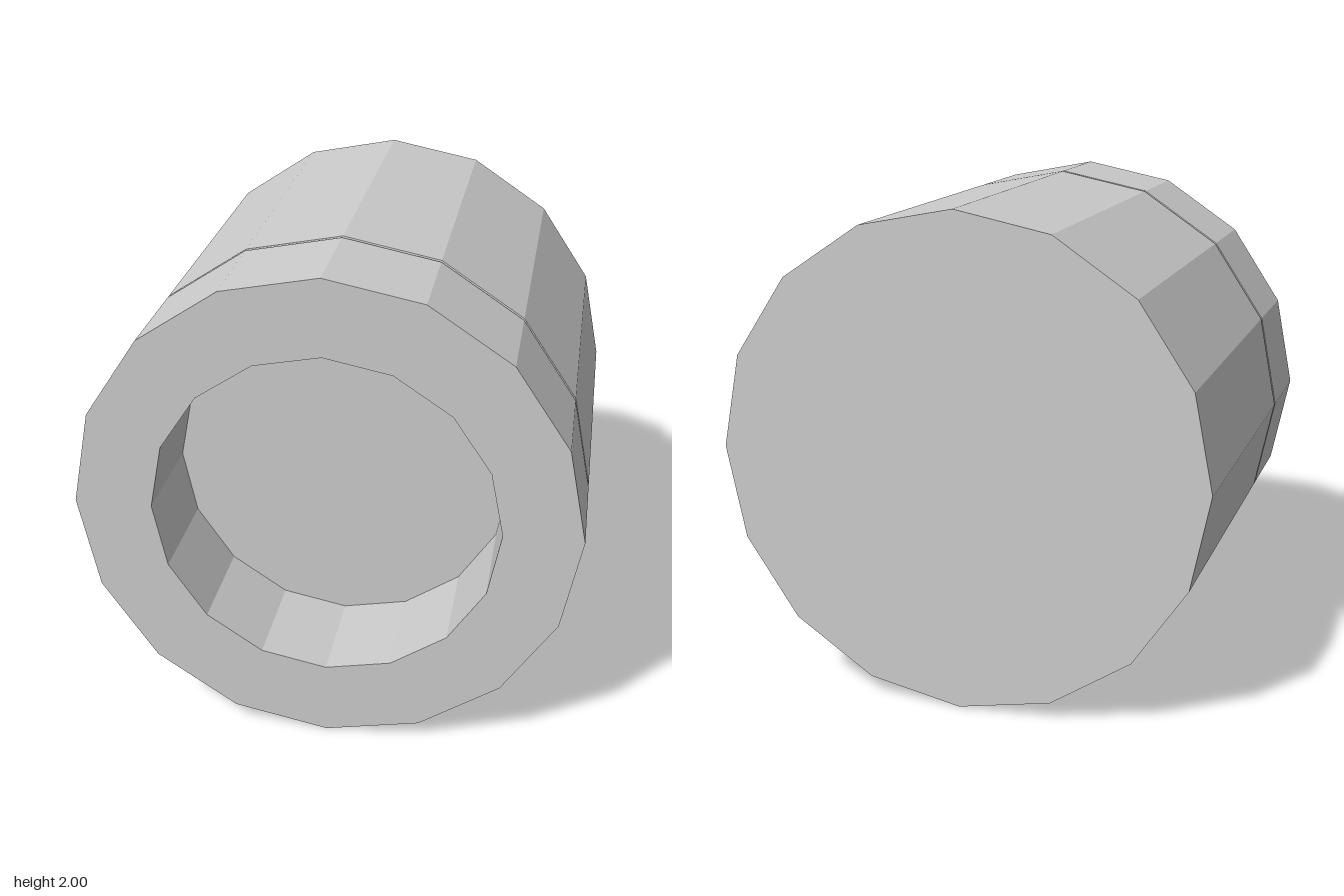
import * as THREE from 'three';

const SIDES = 16;

// Turn a profile of [radius, z] points around the z axis
function turned(name, profile, material) {
  const geometry = new THREE.LatheGeometry(
    profile.map(([r, z]) => new THREE.Vector2(r, z)), SIDES);
  geometry.rotateX(Math.PI / 2);
  const mesh = new THREE.Mesh(geometry, material);
  mesh.name = name;
  mesh.position.y = 1;
  return mesh;
}

export function createModel() {
  const group = new THREE.Group();
  group.name = 'barrel';
  const material = new THREE.MeshStandardMaterial({ color: 0xcccccc, flatShading: true });

  // Solid body; its front disc is the floor of the recess
  group.add(turned('body', [
    [0, -0.9], [1, -0.9], [1, 0.447], [0.99, 0.45], [0, 0.45],
  ], material));

  // Front ring around the recess, bevelled at the back to leave a fine groove
  group.add(turned('frontRing', [
    [0.99, 0.45], [1, 0.465], [1, 0.9], [0.69, 0.9], [0.69, 0.45],
  ], material));

  return group;
}
